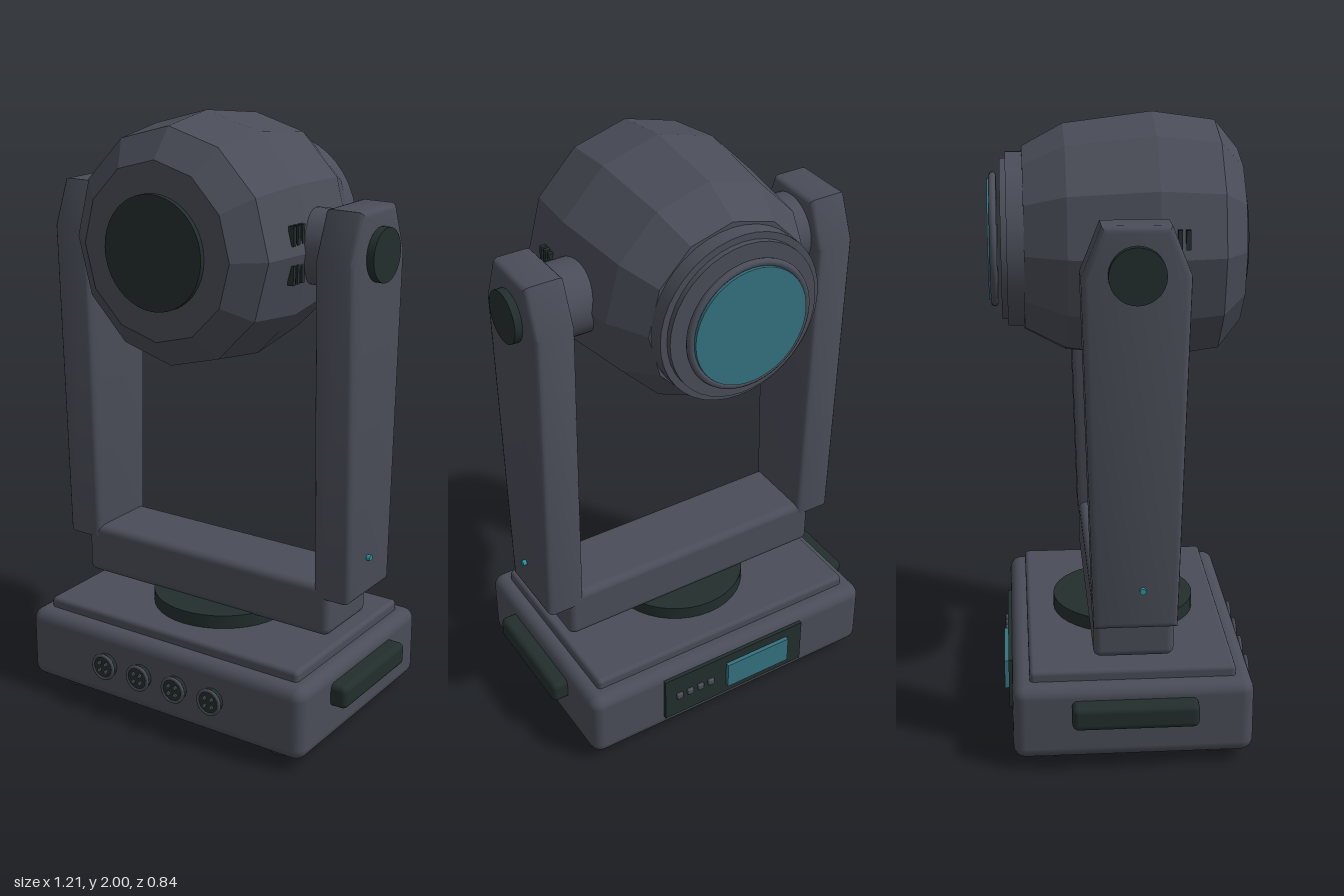
import * as THREE from 'three';
import { toCreasedNormals } from 'three/addons/utils/BufferGeometryUtils.js';
import { RoundedBoxGeometry } from 'three/addons/geometries/RoundedBoxGeometry.js';

const material = (name, color) => {
  const m = new THREE.MeshStandardMaterial({ color });
  m.name = name;
  return m;
};

export function createModel() {
  const body = material('charcoal housing', 0x4a4d58);
  const dark = material('black trim', 0x222e2d);
  const glass = material('teal glass', 0x35727f);
  const pin = material('grey metal', 0x5a6268);
  const led = material('status teal', 0x2a9099);
  const model = new THREE.Group();
  model.name = 'movingHeadLight';

  const add = (name, geometry, mat, x = 0, y = 0, z = 0, parent = model) => {
    const mesh = new THREE.Mesh(geometry, mat);
    mesh.name = name;
    mesh.position.set(x, y, z);
    parent.add(mesh);
    return mesh;
  };
  const box = (w, h, d, r) => new RoundedBoxGeometry(w, h, d, 3, r);
  // Cylinder lying along the chosen axis
  const cyl = (r, length, axis = 'y', sides = 32) => {
    const g = new THREE.CylinderGeometry(r, r, length, sides);
    if (axis === 'x') g.rotateZ(Math.PI / 2);
    if (axis === 'z') g.rotateX(Math.PI / 2);
    return g;
  };

  // Base, stepped lid and feet
  add('base', box(1.1, 0.25, 0.765, 0.04), body, 0, 0.16, 0.0075);
  add('baseLid', box(1.0, 0.07, 0.655, 0.015), body, 0, 0.285, 0.0075);
  for (const x of [-0.42, 0.42])
    for (const z of [-0.265, 0.275]) add('foot', cyl(0.05, 0.045, 'y', 20), dark, x, 0.0225, z);

  // Front sockets with a flange and pins
  for (const x of [-0.215, -0.072, 0.072, 0.215]) {
    const socket = new THREE.Group();
    socket.name = 'socket';
    socket.position.set(x, 0.165, 0.39);
    model.add(socket);
    add('socketBarrel', cyl(0.041, 0.036, 'z', 24), dark, 0, 0, 0.006, socket);
    add('socketFlange', new THREE.TorusGeometry(0.041, 0.006, 8, 24), body, 0, 0, 0.021, socket);
    for (let i = 0; i < 4; i++) {
      const a = Math.PI / 4 + i * Math.PI / 2;
      add('socketPin', cyl(0.007, 0.006, 'z', 10), pin, 0.019 * Math.cos(a), 0.019 * Math.sin(a), 0.026, socket);
    }
  }

  // Rear control panel
  add('controlPanel', new THREE.BoxGeometry(0.56, 0.17, 0.02), dark, 0, 0.17, -0.376);
  add('screen', new THREE.BoxGeometry(0.25, 0.1, 0.016), glass, -0.09, 0.17, -0.392);
  for (let i = 0; i < 4; i++)
    add('panelButton', box(0.024, 0.024, 0.016, 0.005), body, 0.225 - i * 0.042, 0.17, -0.388);

  // Pan bearing and yoke crossbar
  add('panBearing', cyl(0.238, 0.05, 'y', 40), dark, 0, 0.341, 0.01);
  add('yokeCrossbar', box(0.98, 0.175, 0.255, 0.025), body, 0, 0.4425, 0.01);

  // Tapered yoke arm profile, extruded across its thickness
  const armShape = new THREE.Shape([
    [-0.14, 0.49], [0.12, 0.49], [0.152, 1.59], [0.092, 1.74], [-0.112, 1.74], [-0.172, 1.59],
  ].map(([s, y]) => new THREE.Vector2(s, y)));
  const armGeometry = toCreasedNormals(new THREE.ExtrudeGeometry(armShape, {
    depth: 0.095, bevelEnabled: true, bevelThickness: 0.02, bevelSize: 0.02, bevelOffset: -0.02, bevelSegments: 3,
  }).rotateY(Math.PI / 2).translate(-0.0475, 0, 0), 0.6);

  for (const s of [-1, 1]) {
    add('handle', box(0.09, 0.08, 0.4, 0.02), dark, s * 0.56, 0.2, 0.01);
    add('yokeArm', armGeometry, body, s * 0.5025, 0, 0);
    add('tiltHub', cyl(0.12, 0.16, 'x'), body, s * 0.37, 1.6, 0.01);
    add('tiltCap', cyl(0.085, 0.04, 'x', 28), dark, s * 0.575, 1.6, 0.01);
    add('statusLight', cyl(0.01, 0.02, 'x', 12), led, s * 0.573, 0.62, 0.03);
    // Cooling slots on the head flanks
    for (const y of [1.66, 1.54])
      for (const z of [0.13, 0.155, 0.18])
        add('coolingSlot', new THREE.BoxGeometry(0.02, 0.06, 0.014), dark, s * 0.364, y, z);
  }

  // Faceted twelve-sided head
  const profile = [
    [0, -0.31], [0.295, -0.31], [0.365, -0.18], [0.4, 0.1], [0.372, 0.3], [0.28, 0.375], [0, 0.375],
  ].map(([r, z]) => new THREE.Vector2(r, z));
  const headGeometry = new THREE.LatheGeometry(profile, 12).toNonIndexed();
  headGeometry.rotateX(Math.PI / 2).scale(0.965, 1, 1);
  headGeometry.computeVertexNormals();
  add('head', headGeometry, body, 0, 1.6, 0);
  add('headCap', cyl(0.18, 0.03, 'z', 40), dark, 0, 1.6, 0.377);

  // Stepped lens collar, rim and lens
  add('lensCollar', cyl(0.277, 0.06, 'z', 40), body, 0, 1.6, -0.332);
  add('lensCollarStep', cyl(0.255, 0.02, 'z', 40), body, 0, 1.6, -0.37);
  add('lensRim', new THREE.TorusGeometry(0.202, 0.012, 10, 48), body, 0, 1.6, -0.403);
  add('lens', cyl(0.193, 0.022, 'z', 48), glass, 0, 1.6, -0.409);

  return model;
}
